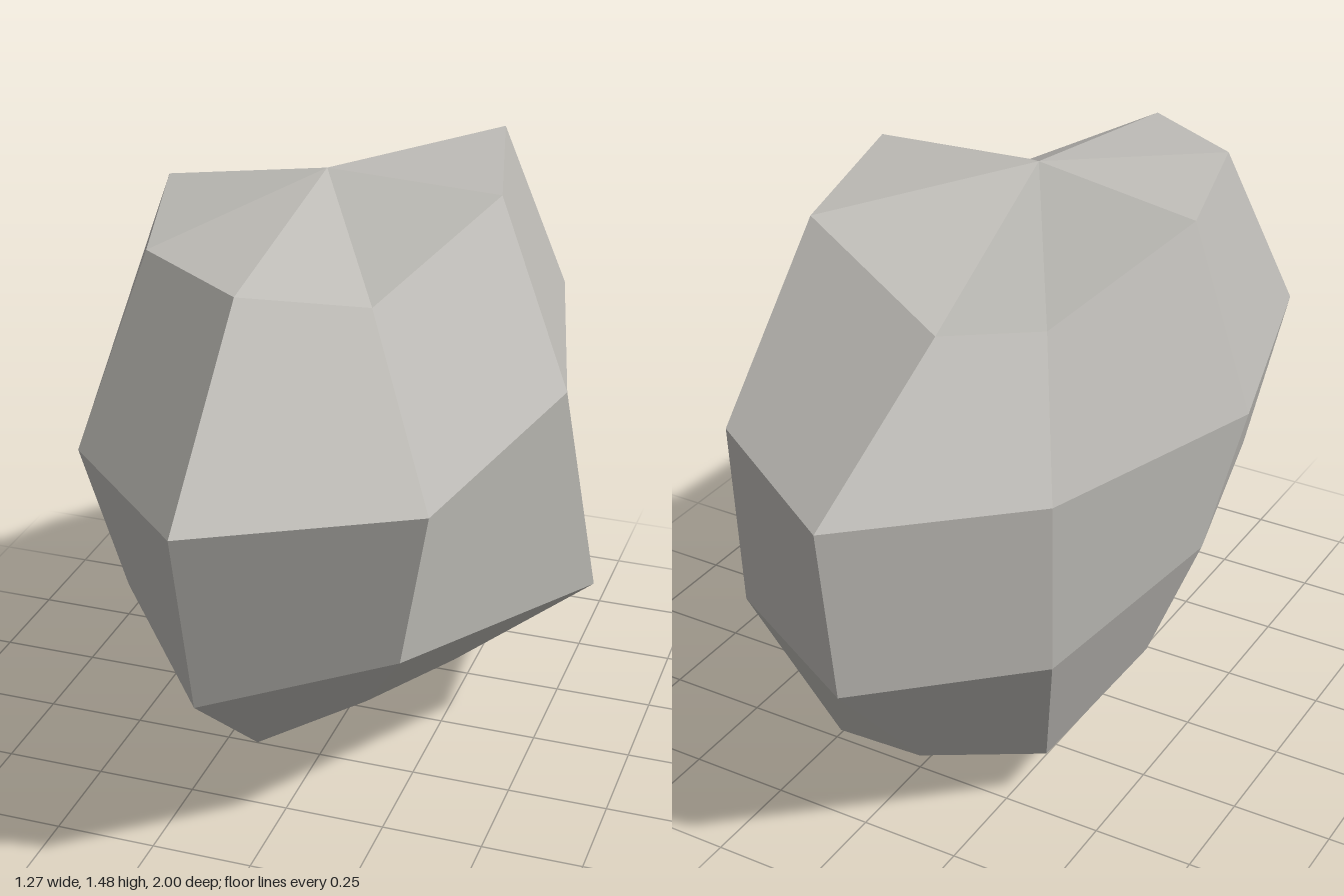
import * as THREE from 'three';

// Distance factor of each vertex from the centre, one row per ring from top to bottom.
// Columns run around the rock: -x, -x+z, +z, +x+z, +x, +x-z, -z, -x-z.
const RINGS = [
  [0.74],
  [0.84, 0.815, 0.80, 0.69, 0.89, 0.895, 0.605, 0.615],
  [0.716, 0.705, 0.82, 0.905, 0.773, 0.777, 0.773, 0.63],
  [0.583, 0.59, 0.733, 0.69, 0.887, 0.757, 0.725, 0.67],
  [0.656, 0.58, 0.69, 0.63, 0.70, 0.872, 0.747, 0.754],
  [0.74],
];
const SEGMENTS = 8;

// Gives each facet one normal: single triangles at the poles, triangle pairs between
function facetNormals(geometry) {
  const { position, normal } = geometry.attributes;
  const triangles = position.count / 3;
  const [a, b, c] = [new THREE.Vector3(), new THREE.Vector3(), new THREE.Vector3()];
  for (let t = 0; t < triangles;) {
    const size = t < SEGMENTS || t >= triangles - SEGMENTS ? 1 : 2;
    const n = new THREE.Vector3();
    for (let i = t * 3; i < (t + size) * 3; i += 3) {
      a.fromBufferAttribute(position, i);
      b.fromBufferAttribute(position, i + 1).sub(a);
      c.fromBufferAttribute(position, i + 2).sub(a);
      n.add(b.cross(c));
    }
    n.normalize();
    for (let i = t * 3; i < (t + size) * 3; i++) normal.setXYZ(i, n.x, n.y, n.z);
    t += size;
  }
}

export function createModel() {
  const group = new THREE.Group();
  group.name = 'rock';

  const stone = new THREE.MeshStandardMaterial({ color: 0xbcbab5 });
  stone.name = 'stone grey';

  // Coarse sphere, dented and bulged vertex by vertex, then stretched
  const sphere = new THREE.SphereGeometry(1, SEGMENTS, RINGS.length - 1);
  const pos = sphere.attributes.position;
  const v = new THREE.Vector3();
  for (let i = 0; i < pos.count; i++) {
    const ring = RINGS[Math.floor(i / (SEGMENTS + 1))];
    const k = ring[(i % (SEGMENTS + 1)) % ring.length];
    v.fromBufferAttribute(pos, i).multiplyScalar(k);
    pos.setXYZ(i, v.x * 0.83, v.y, v.z * 1.32);
  }
  sphere.translate(-0.07, 0.74, -0.03);

  const geometry = sphere.toNonIndexed();
  facetNormals(geometry);

  const boulder = new THREE.Mesh(geometry, stone);
  boulder.name = 'boulder';
  group.add(boulder);
  return group;
}
